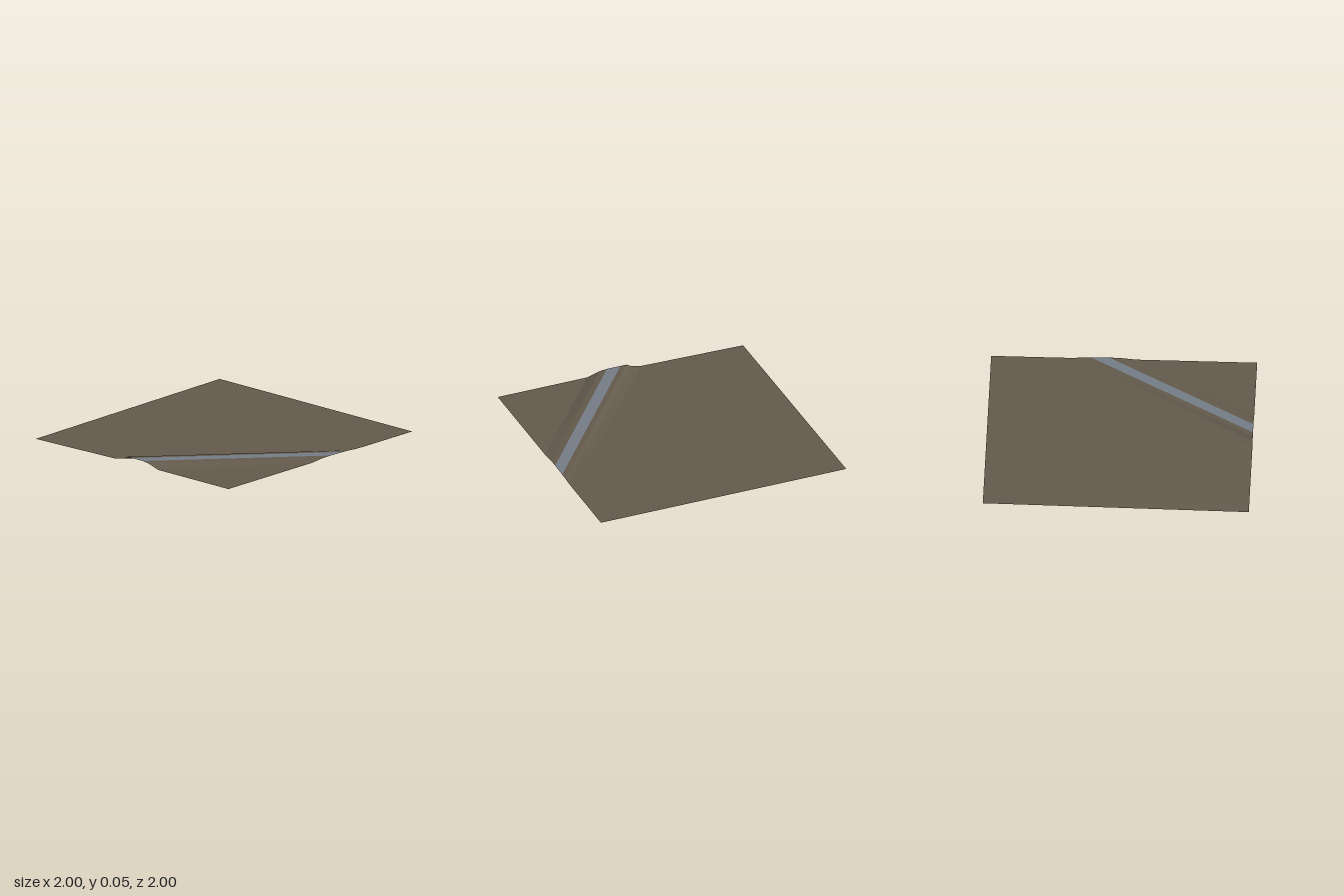
import * as THREE from 'three';

// Raised bank across the tile: [offset in z from the road's north edge, share of full height]
const PROFILE = [[-0.17, 0], [-0.09, 0.4], [-0.05, 1], [0, 1], [0.11, 1], [0.17, 0.82], [0.27, 0]];
const SLOPE = 0.8;
const ROAD_START = 3; // profile span that carries the road
const NORTH_STEPS = 8, SOUTH_STEPS = 4;

const roadLine = (x) => SLOPE * (x + 1);

// Gently tilted ground, low in the back right corner
function groundHeight(x, z) {
  const low = 0.018 * Math.min(1, z + 1);
  return THREE.MathUtils.lerp(low, 0.038, (x + 1) / 2);
}

function bankShare(d) {
  for (let i = 0; i < PROFILE.length - 1; i++) {
    const [d0, s0] = PROFILE[i], [d1, s1] = PROFILE[i + 1];
    if (d >= d0 && d <= d1) return s0 + (s1 - s0) * (d - d0) / (d1 - d0);
  }
  return 0;
}

function height(x, z) {
  const ground = groundHeight(x, z);
  const crest = Math.max(ground, 0.055 - 0.0125 * (x + 1));
  return ground + (crest - ground) * bankShare(z - roadLine(x));
}

// Rows in x, including those where a bank line meets the front edge
function rowPositions() {
  const xs = [];
  for (let i = 0; i <= 20; i++) xs.push(-1 + i * 0.1);
  for (const [d] of PROFILE) xs.push((1 - d) / SLOPE - 1);
  return xs.filter((x) => x <= 1).sort((a, b) => a - b);
}

// Points along z in one row: back field, bank lines, front field
function rowDepths(x) {
  const lines = PROFILE.map(([d]) => Math.min(1, roadLine(x) + d));
  const zs = [];
  for (let i = 0; i < NORTH_STEPS; i++) zs.push(THREE.MathUtils.lerp(-1, lines[0], i / NORTH_STEPS));
  zs.push(...lines);
  const last = lines[lines.length - 1];
  for (let i = 1; i <= SOUTH_STEPS; i++) zs.push(THREE.MathUtils.lerp(last, 1, i / SOUTH_STEPS));
  return zs;
}

// Sheet made of the columns from first up to end
function strip(first, end) {
  const positions = [], indices = [];
  const rows = rowPositions().map((x) => rowDepths(x).slice(first, end + 1).map((z) => [x, height(x, z), z]));
  const n = end - first + 1;
  rows.forEach((row) => row.forEach((p) => positions.push(...p)));
  for (let i = 0; i < rows.length - 1; i++) {
    if (rows[i + 1][0][0] - rows[i][0][0] < 1e-6) continue;
    for (let j = 0; j < n - 1; j++) {
      const a = i * n + j, b = a + 1, c = b + n, d = a + n;
      if (rows[i][j + 1][2] - rows[i][j][2] > 1e-6) indices.push(a, b, d);
      if (rows[i + 1][j + 1][2] - rows[i + 1][j][2] > 1e-6) indices.push(b, c, d);
    }
  }
  const geometry = new THREE.BufferGeometry();
  geometry.setAttribute('position', new THREE.Float32BufferAttribute(positions, 3));
  geometry.setIndex(indices);
  geometry.computeVertexNormals();
  return geometry;
}

export function createModel() {
  const group = new THREE.Group();
  group.name = 'terrainTile';

  const earth = new THREE.MeshStandardMaterial({ color: 0x635a4c, side: THREE.DoubleSide, flatShading: true });
  earth.name = 'earth';
  const asphalt = new THREE.MeshStandardMaterial({ color: 0x747c86, side: THREE.DoubleSide, flatShading: true });
  asphalt.name = 'asphalt';

  const add = (name, first, end, material) => {
    const mesh = new THREE.Mesh(strip(first, end), material);
    mesh.name = name;
    group.add(mesh);
  };
  const road = NORTH_STEPS + ROAD_START;
  const lastColumn = NORTH_STEPS + PROFILE.length - 1 + SOUTH_STEPS;
  add('backGround', 0, road, earth);
  add('road', road, road + 1, asphalt);
  add('frontGround', road + 1, lastColumn, earth);
  return group;
}
